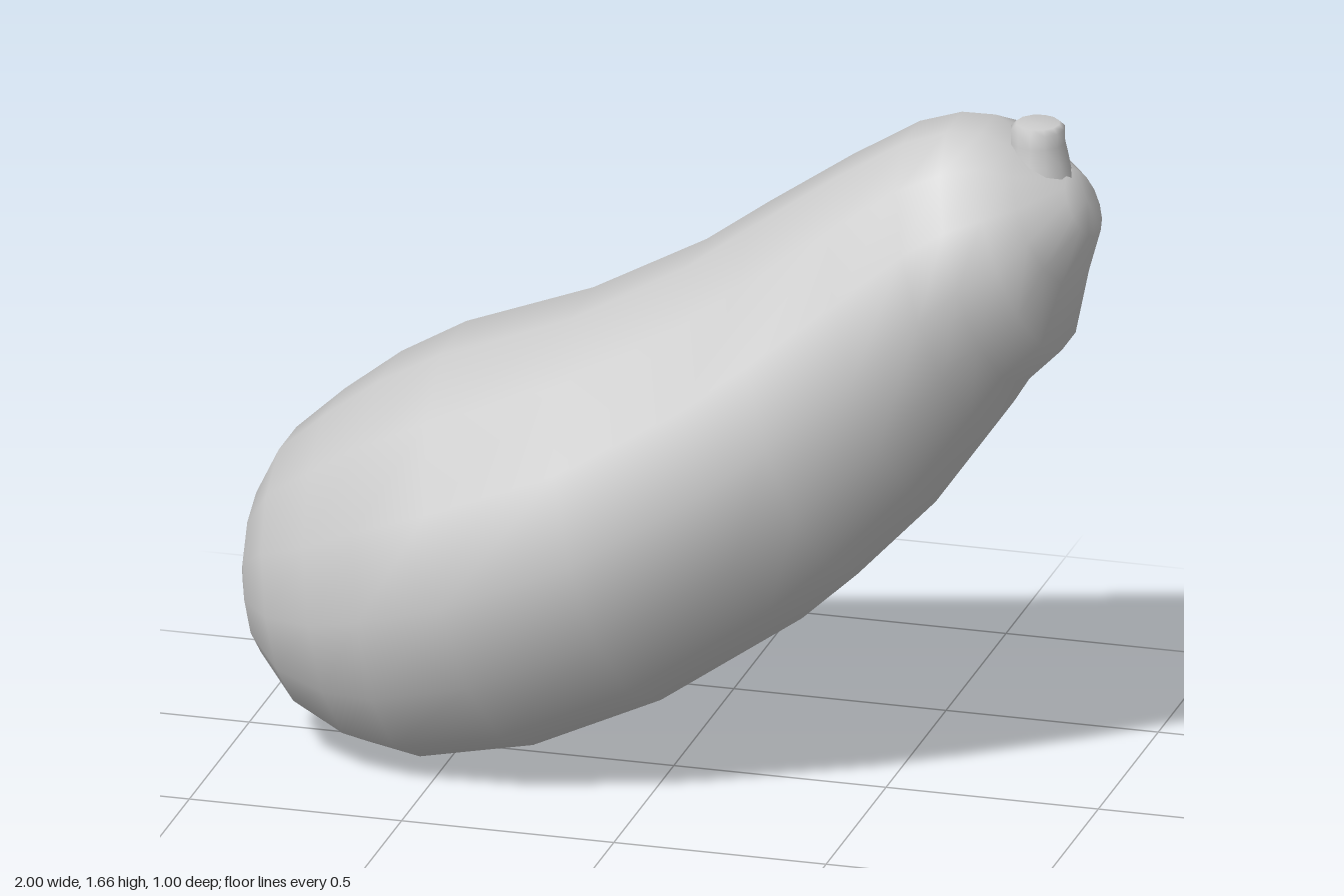
import * as THREE from 'three';

const SIDES = 14;

// Cross-sections along the bent fruit: top x, top y, bottom x, bottom y, half width
const SECTIONS = [
  [-1.0, 0.44, -0.98, 0.31, 0.09],
  [-0.97, 0.58, -0.93, 0.19, 0.22],
  [-0.91, 0.70, -0.83, 0.085, 0.33],
  [-0.80, 0.80, -0.70, 0.02, 0.40],
  [-0.67, 0.90, -0.57, 0.0, 0.455],
  [-0.52, 0.985, -0.30, 0.06, 0.50],
  [-0.22, 1.10, 0.0, 0.20, 0.485],
  [0.05, 1.25, 0.33, 0.43, 0.44],
  [0.20, 1.36, 0.46, 0.55, 0.41],
  [0.40, 1.50, 0.64, 0.74, 0.36],
  [0.56, 1.60, 0.78, 0.94, 0.335],
  [0.66, 1.635, 0.845, 1.045, 0.305],
  [0.74, 1.64, 0.93, 1.13, 0.265],
  [0.82, 1.60, 0.965, 1.29, 0.21],
  [0.93, 1.54, 1.0, 1.40, 0.09],
];

// Skins the elliptical sections and closes both ends with a pole
function loft(sections, startPole, endPole) {
  const positions = [];
  const index = [];
  const flat = Math.cos(Math.PI / SIDES); // a flat facet faces up and down
  for (const [tx, ty, bx, by, w] of sections) {
    for (let j = 0; j < SIDES; j++) {
      const a = ((j + 0.5) / SIDES) * Math.PI * 2;
      const c = Math.cos(a) / flat;
      positions.push(
        (tx + bx) / 2 + ((tx - bx) / 2) * c,
        (ty + by) / 2 + ((ty - by) / 2) * c,
        w * Math.sin(a)
      );
    }
  }
  const last = sections.length - 1;
  const start = sections.length * SIDES;
  const end = start + 1;
  positions.push(...startPole, ...endPole);
  const at = (i, j) => i * SIDES + (j % SIDES);
  for (let j = 0; j < SIDES; j++) {
    index.push(start, at(0, j + 1), at(0, j));
    for (let i = 0; i < last; i++) {
      index.push(at(i, j), at(i, j + 1), at(i + 1, j));
      index.push(at(i, j + 1), at(i + 1, j + 1), at(i + 1, j));
    }
    index.push(at(last, j), at(last, j + 1), end);
  }
  const geometry = new THREE.BufferGeometry();
  geometry.setAttribute('position', new THREE.Float32BufferAttribute(positions, 3));
  geometry.setIndex(index);
  geometry.computeVertexNormals();
  return geometry;
}

export function createModel() {
  const group = new THREE.Group();
  group.name = 'eggplant';
  const material = new THREE.MeshStandardMaterial({ color: 0xcccccc });

  // Plump curved fruit
  const body = new THREE.Mesh(loft(SECTIONS, [-0.995, 0.375, 0], [0.975, 1.475, 0]), material);
  body.name = 'fruitBody';
  group.add(body);

  // Short stalk flaring into the fruit
  const profile = [[0.085, 1.5], [0.072, 1.57], [0.063, 1.61], [0.063, 1.643], [0.05, 1.655], [0, 1.656]]
    .map(([r, y]) => new THREE.Vector2(r, y));
  const stalk = new THREE.Mesh(new THREE.LatheGeometry(profile, 12), material);
  stalk.name = 'stalk';
  stalk.position.x = 0.858;
  group.add(stalk);

  return group;
}
